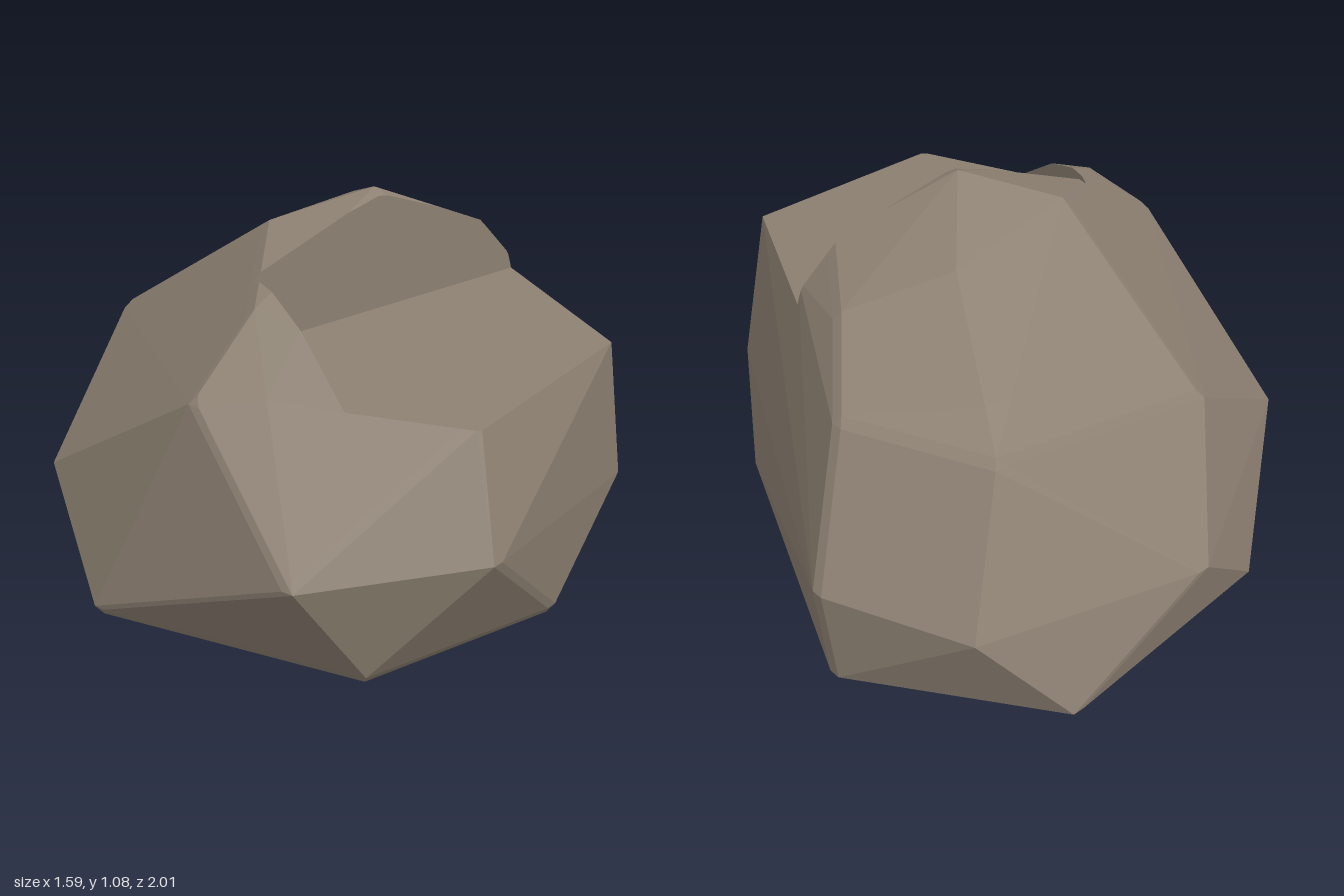
import * as THREE from 'three';
import { ConvexGeometry } from 'three/addons/geometries/ConvexGeometry.js';

const BEVEL = 0.025;

// Corners of the boulder before the notch is cut
const corners = [
  // foot
  [0, 0, 0.89], [0.55, 0, 0.57], [0.74, 0, 0.05], [0.39, 0, -0.83],
  [-0.26, 0, -0.93], [-0.73, 0, -0.36], [-0.68, 0, 0.45],
  // waist
  [-0.2, 0.33, 1.0], [0.32, 0.35, 0.94], [0.785, 0.28, 0.29], [0.42, 0.33, -0.85],
  [0, 0.32, -1.0], [-0.59, 0.28, -0.64], [-0.79, 0.3, 0.1],
  // shoulders
  [0.3, 0.69, 0.82], [0.72, 0.72, 0.38], [0.54, 0.82, -0.1], [0.38, 0.72, -0.62],
  [-0.04, 0.72, -0.77], [-0.57, 0.62, -0.32], [-0.41, 0.67, 0.58],
  // crown
  [-0.25, 0.86, 0.46], [-0.18, 0.99, 0.08], [0.12, 1.075, 0.07], [0.46, 0.92, -0.06],
  [0.41, 0.86, -0.34], [0.1, 0.96, -0.27],
].map((c) => new THREE.Vector3(...c));

// Swap each corner for a small octahedron so the hull gets chamfered edges
function bevelled(points) {
  const centre = new THREE.Vector3(0, 0.45, 0);
  const out = [];
  for (const p of points) {
    const q = p.clone().addScaledVector(centre.clone().sub(p).normalize(), BEVEL * 0.8);
    if (p.y === 0) q.y = BEVEL;
    for (const s of [-BEVEL, BEVEL]) {
      out.push(q.clone().setX(q.x + s), q.clone().setY(q.y + s), q.clone().setZ(q.z + s));
    }
  }
  return out;
}

// Keep the part of a convex solid where the plane distance is negative
function clip(points, plane) {
  const pos = new ConvexGeometry(points).getAttribute('position');
  const kept = new Map();
  const keep = (v) => kept.set(v.toArray().map((n) => n.toFixed(4)).join(), v);
  for (let i = 0; i < pos.count; i += 3) {
    const tri = [0, 1, 2].map((k) => new THREE.Vector3().fromBufferAttribute(pos, i + k));
    tri.forEach((a, k) => {
      const b = tri[(k + 1) % 3];
      const da = plane.distanceToPoint(a);
      const db = plane.distanceToPoint(b);
      if (da <= 0) keep(a);
      if (da * db < 0) keep(a.clone().lerp(b, da / (da - db)));
    });
  }
  return [...kept.values()];
}

const planeAt = (normal, point) => new THREE.Plane().setFromNormalAndCoplanarPoint(
  new THREE.Vector3(...normal).normalize(), new THREE.Vector3(...point));

export function createModel() {
  const rock = new THREE.MeshStandardMaterial({ color: 0x8c8071 });
  rock.name = 'warm grey stone';
  const group = new THREE.Group();
  group.name = 'boulder';

  // Three planes of the notch: ledge floor, back wall and side wall
  const floor = planeAt([0, 1, 0.085], [0, 0.745, 0]);
  const wall = planeAt([0.43, 0, 0.75], [-0.22, 0.73, 0.3]);
  const side = planeAt([0.4, 0, -0.2], [-0.24, 0.73, 0.3]);
  const above = floor.clone().negate();
  const inFront = wall.clone().negate();

  const parts = {
    lowerBoulder: [floor],
    rearCrown: [above, wall],
    sideShoulder: [above, inFront, side],
  };
  const solid = bevelled(corners);
  for (const [name, planes] of Object.entries(parts)) {
    const mesh = new THREE.Mesh(new ConvexGeometry(planes.reduce(clip, solid)), rock);
    mesh.name = name;
    group.add(mesh);
  }
  return group;
}
